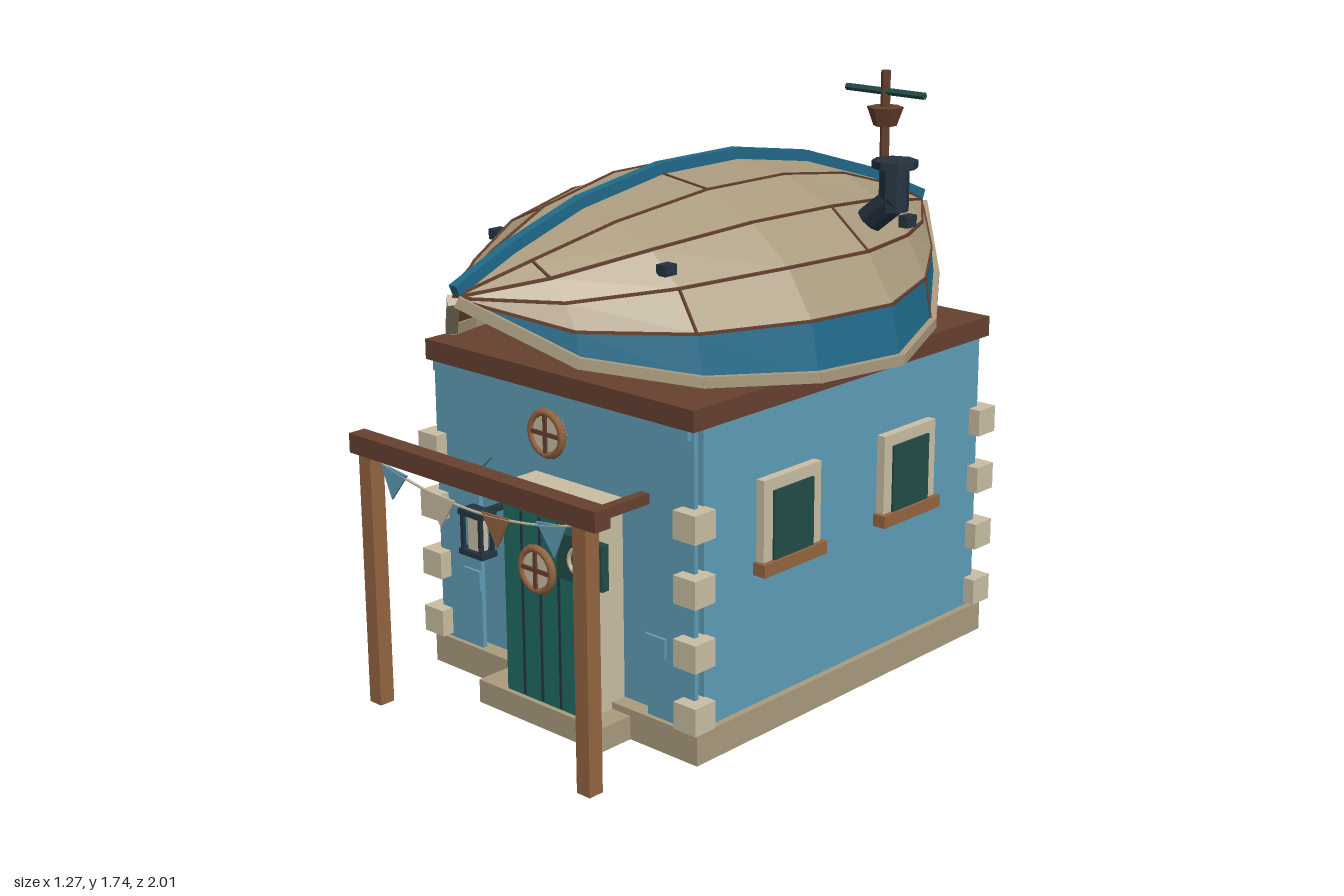
import * as THREE from 'three';

const mat = (name, color) => {
  const m = new THREE.MeshStandardMaterial({ color });
  m.name = name;
  return m;
};

export function createModel() {
  const M = {
    wall: mat('wall blue', 0x5f9db8), stone: mat('weathered stone', 0xaa9b7e),
    cream: mat('cream', 0xcabfa4), beam: mat('dark brown', 0x66402f),
    wood: mat('warm wood', 0x956540), ocean: mat('ocean blue', 0x1f6a8a),
    door: mat('door green', 0x1f6a62), glass: mat('deep green', 0x234c48),
    iron: mat('dark iron', 0x253340),
  };
  const root = new THREE.Group();
  root.name = 'boatRoofCottage';
  const V = (x, y, z) => new THREE.Vector3(x, y, z);

  const add = (name, geo, m, x = 0, y = 0, z = 0) => {
    const mesh = new THREE.Mesh(geo, m);
    mesh.name = name;
    mesh.position.set(x, y, z);
    root.add(mesh);
    return mesh;
  };
  // box given by its limits on each axis
  const box = (name, m, x0, x1, y0, y1, z0, z1) => add(name,
    new THREE.BoxGeometry(x1 - x0, y1 - y0, z1 - z0), m, (x0 + x1) / 2, (y0 + y1) / 2, (z0 + z1) / 2);
  // square bar between two points
  const bar = (name, m, p, q, w, h = w) => {
    const b = add(name, new THREE.BoxGeometry(w, h, p.distanceTo(q) + w * 0.4), m);
    b.position.copy(p).lerp(q, 0.5);
    b.lookAt(q);
    return b;
  };
  const drum = (name, m, rTop, rBottom, h, sides, x, y, z) => {
    const geo = new THREE.CylinderGeometry(rTop, rBottom, h, sides).toNonIndexed();
    geo.computeVertexNormals();
    return add(name, geo, m, x, y, z);
  };

  // house body
  box('foundation', M.stone, -0.53, 0.53, 0, 0.09, -0.64, 0.65);
  box('walls', M.wall, -0.51, 0.51, 0.02, 0.95, -0.62, 0.6);
  box('roofSlab', M.beam, -0.525, 0.525, 0.94, 1, -0.647, 0.655);
  box('doorStep', M.stone, -0.21, 0.28, 0, 0.07, 0.64, 0.765);

  // front wall with a shallow arched recess
  const face = new THREE.Shape([[-0.51, 0.09], [-0.335, 0.09], [-0.335, 0.64], [-0.28, 0.69], [-0.17, 0.73], [0, 0.745],
    [0.17, 0.73], [0.28, 0.69], [0.335, 0.64], [0.335, 0.09], [0.51, 0.09], [0.51, 0.94], [-0.51, 0.94]]
    .map(([x, y]) => new THREE.Vector2(x, y)));
  add('frontWall', new THREE.ExtrudeGeometry(face, { depth: 0.014, bevelEnabled: false }), M.wall, 0, 0, 0.622);
  box('frontLintel', M.wall, -0.5, 0.5, 0.91, 0.94, 0.63, 0.65);
  for (const s of [-1, 1]) box('archImpost', M.wall, s * 0.37 - 0.037, s * 0.37 + 0.037, 0.27, 0.33, 0.63, 0.645);

  // corner stones
  for (const sx of [-1, 1]) for (const z of [0.635, -0.62]) for (let i = 0; i < 4; i++)
    add('cornerStone', new THREE.BoxGeometry(0.08, 0.08, 0.08), M.cream, sx * 0.508, 0.14 + i * 0.181, z);

  // side windows
  for (const s of [-1, 1]) for (const z of [0.27, -0.254]) {
    const part = (name, m, w, h, d, x, y) => add(name, new THREE.BoxGeometry(d, h, w), m, s * x, y, z);
    part('windowFrame', M.cream, 0.24, 0.24, 0.03, 0.522, 0.625);
    part('windowGlass', M.glass, 0.166, 0.2, 0.008, 0.54, 0.61);
    part('windowSill', M.wood, 0.264, 0.037, 0.045, 0.53, 0.492);
  }

  // door
  box('doorFrame', M.cream, -0.13, 0.21, 0.07, 0.677, 0.6, 0.71);
  box('door', M.door, -0.105, 0.185, 0.07, 0.667, 0.705, 0.75);
  for (const x of [-0.032, 0.04, 0.113]) box('doorSeam', M.iron, x - 0.004, x + 0.004, 0.075, 0.62, 0.748, 0.753);

  // round windows
  const porthole = (x, y, z) => {
    const pane = drum('portholePane', M.cream, 0.062, 0.062, 0.02, 16, x, y, z);
    pane.rotation.x = Math.PI / 2;
    add('portholeRing', new THREE.TorusGeometry(0.061, 0.012, 6, 16), M.wood, x, y, z + 0.006);
    box('portholeBarAcross', M.beam, x - 0.06, x + 0.06, y - 0.006, y + 0.006, z, z + 0.016);
    box('portholeBarUp', M.beam, x - 0.006, x + 0.006, y - 0.06, y + 0.06, z, z + 0.016);
  };
  porthole(0.04, 0.47, 0.757);
  porthole(0, 0.832, 0.672);

  // porch posts, beam and bunting
  for (const s of [-1, 1]) box('porchPost', M.wood, s * 0.424 - 0.024, s * 0.424 + 0.024, 0, 0.745, 0.925, 0.973);
  box('porchBeam', M.beam, -0.485, 0.485, 0.743, 0.8, 0.92, 0.975);
  const rope = new THREE.QuadraticBezierCurve3(V(-0.41, 0.74, 0.95), V(0, 0.62, 0.95), V(0.41, 0.74, 0.95));
  add('buntingRope', new THREE.TubeGeometry(rope, 12, 0.004, 5), M.cream);
  [[-0.325, M.ocean], [-0.13, M.cream], [0.088, M.wood], [0.3, M.wall]].forEach(([x, m], i) => {
    const p = rope.getPoint((x + 0.41) / 0.82);
    const tri = new THREE.Shape([[-0.055, 0.006], [0, -0.085], [0.055, 0.006]].map(([a, b]) => new THREE.Vector2(a, b)));
    add('buntingFlag', new THREE.ExtrudeGeometry(tri, { depth: 0.006, bevelEnabled: false }),
      i === 0 ? M.wall : m, x, p.y, 0.947).rotation.z = x * 0.4;
  });

  // hanging sign
  box('signArm', M.beam, 0.317, 0.347, 0.7, 0.73, 0.63, 0.9);
  box('signBoard', M.glass, 0.25, 0.418, 0.54, 0.667, 0.862, 0.886);
  add('signRing', new THREE.TorusGeometry(0.036, 0.007, 5, 16), M.cream, 0.334, 0.603, 0.888);

  // wall lantern
  box('lanternArm', M.iron, -0.2, -0.18, 0.57, 0.585, 0.6, 0.77);
  box('lanternGlow', M.cream, -0.215, -0.167, 0.47, 0.575, 0.755, 0.785);
  for (const y of [0.465, 0.582]) box('lanternCap', M.iron, -0.24, -0.143, y - 0.008, y + 0.008, 0.742, 0.8);
  for (const x of [-0.228, -0.155]) for (const z of [0.75, 0.792])
    box('lanternPost', M.iron, x - 0.006, x + 0.006, 0.47, 0.58, z - 0.005, z + 0.005);

  // upturned hull: z, half width, rim height, keel height
  const stations = [[0.985, 0.012, 1.262, 1.278], [0.79, 0.25, 1.105, 1.36], [0.54, 0.455, 1.04, 1.44],
    [0.225, 0.587, 1.012, 1.49], [-0.09, 0.615, 1, 1.49], [-0.405, 0.487, 1.02, 1.44],
    [-0.72, 0.262, 1.07, 1.345], [-0.985, 0.012, 1.215, 1.237]];
  const hullPoint = (s, i, k = 1) => {
    const [z, w, rim, keel] = stations[s], a = (i - 5) * Math.PI / 10;
    return V(k * w * Math.sin(a), rim + (keel - rim) * Math.cos(a) * k, z);
  };
  const plank = (i, inside) => {
    const k = inside ? 0.975 : 1, pts = [];
    for (let s = 0; s < 7; s++) {
      const a = hullPoint(s, i, k), b = hullPoint(s, i + 1, k), c = hullPoint(s + 1, i + 1, k), d = hullPoint(s + 1, i, k);
      pts.push(...(inside ? [a, c, b, a, d, c] : [a, b, c, a, c, d]));
    }
    const geo = new THREE.BufferGeometry().setFromPoints(pts);
    geo.computeVertexNormals();
    return geo;
  };
  for (let i = 0; i < 10; i++) {
    add('hullPlank', plank(i, false), i === 0 || i === 9 ? M.ocean : M.stone);
    add('hullLining', plank(i, true), M.beam);
  }
  for (let s = 0; s < 7; s++) {
    for (const i of [1, 2, 3, 4, 6, 7, 8, 9]) bar('plankSeam', M.beam, hullPoint(s, i), hullPoint(s + 1, i), 0.008);
    for (const i of [0, 10]) bar('gunwale', M.stone, hullPoint(s, i), hullPoint(s + 1, i), 0.032, 0.03);
    const lift = V(0, 0.012, 0);
    bar('keel', M.ocean, hullPoint(s, 5).add(lift), hullPoint(s + 1, 5).add(lift), 0.028, 0.038);
  }
  // butt joints between planks: station, plank
  for (const [s, i] of [[5, 4], [3, 5], [2, 3], [4, 2], [1, 6], [4, 7], [2, 8], [2, 1], [5, 9], [5, 0]])
    bar('plankJoint', M.beam, hullPoint(s, i), hullPoint(s, i + 1), 0.007);
  box('sternHook', M.cream, -0.06, 0.06, 1.16, 1.2, -0.965, -0.92);
  for (const s of [-1, 1]) {
    box('cleat', M.iron, s * 0.325 - 0.017, s * 0.325 + 0.017, 1.305, 1.335, 0.52, 0.563);
    box('cleat', M.iron, s * 0.388 - 0.016, s * 0.388 + 0.016, 1.29, 1.325, -0.435, -0.39);
  }

  // stove pipe
  const elbow = drum('pipeElbow', M.iron, 0.042, 0.042, 0.16, 8, 0.415, 1.365, -0.245);
  elbow.rotation.z = -0.9;
  drum('pipe', M.iron, 0.042, 0.042, 0.13, 8, 0.465, 1.44, -0.245);
  drum('pipeCap', M.iron, 0.066, 0.066, 0.022, 8, 0.465, 1.509, -0.245);

  // mast with lookout and yard
  drum('mast', M.beam, 0.014, 0.014, 0.4, 6, 0.305, 1.54, -0.402);
  drum('lookout', M.beam, 0.054, 0.034, 0.055, 6, 0.305, 1.607, -0.402);
  const yard = drum('yard', M.glass, 0.011, 0.011, 0.283, 6, 0.304, 1.679, -0.402);
  yard.rotation.z = Math.PI / 2;

  return root;
}
